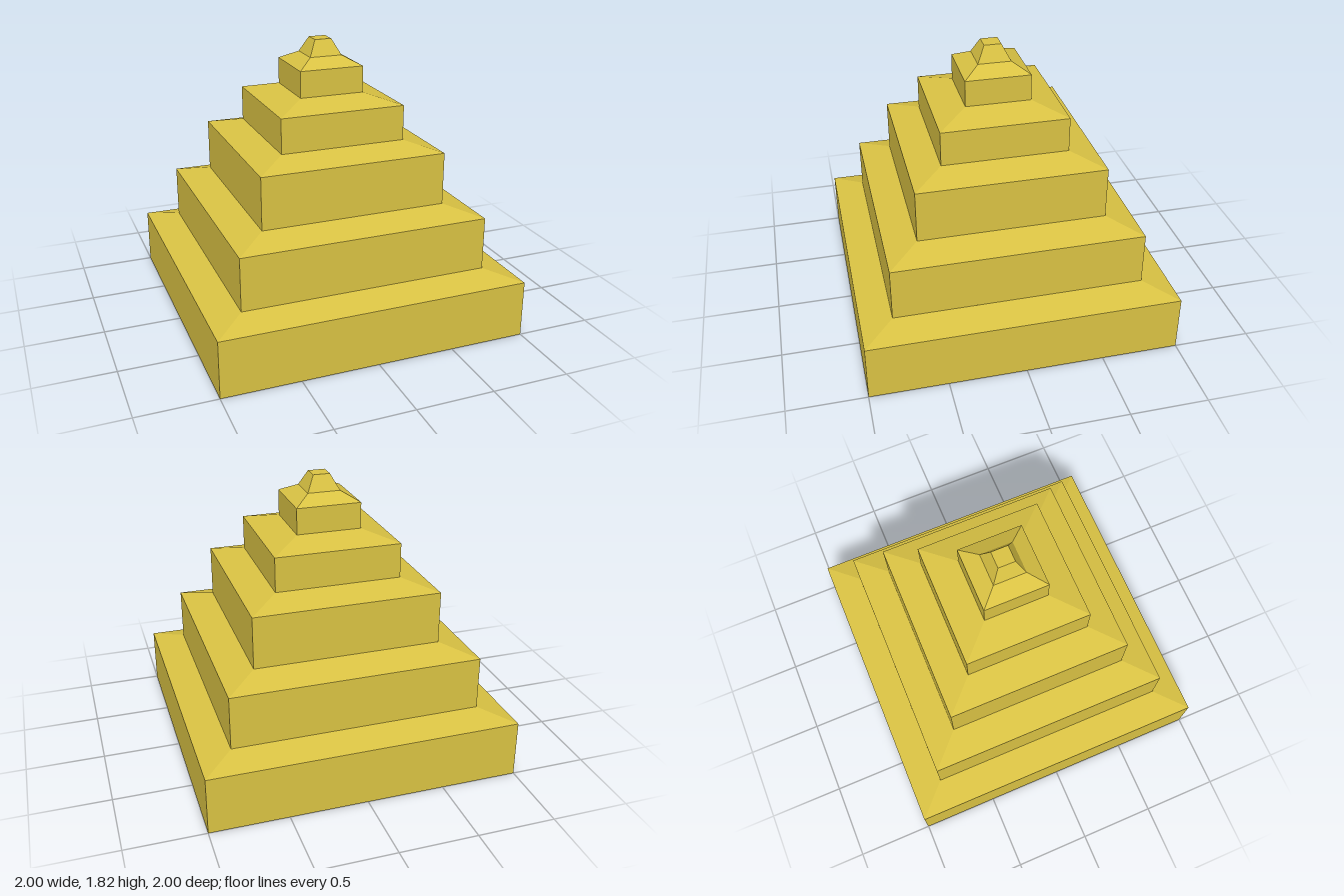
import * as THREE from 'three';

const material = new THREE.MeshStandardMaterial({ color: 0xd9c243, flatShading: true });

// Square frustum given by its half widths and heights
function squareBlock(name, bottomHalf, topHalf, y0, y1, open = true) {
  const geometry = new THREE.CylinderGeometry(
    topHalf * Math.SQRT2, bottomHalf * Math.SQRT2, y1 - y0, 4, 1, open, Math.PI / 4);
  const mesh = new THREE.Mesh(geometry, material);
  mesh.name = name;
  mesh.position.y = (y0 + y1) / 2;
  return mesh;
}

export function createModel() {
  const model = new THREE.Group();
  model.name = 'steppedPyramid';

  // Half width, wall bottom, wall top and ledge top of each tier
  const tiers = [
    [1.0, 0, 0.37, 0.42],
    [0.803, 0.42, 0.763, 0.82],
    [0.603, 0.82, 1.158, 1.212],
    [0.407, 1.212, 1.437, 1.493],
    [0.21, 1.493, 1.663, 1.72],
  ];
  const finialHalf = 0.106;

  tiers.forEach(([half, y0, y1, y2], i) => {
    const nextHalf = i + 1 < tiers.length ? tiers[i + 1][0] : finialHalf;
    const tier = new THREE.Group();
    tier.name = `tier${i + 1}`;
    // Vertical wall; the lowest one is closed to give the underside
    tier.add(squareBlock('wall', half, half, y0, y1, i > 0));
    // Sloping ledge up to the next tier
    tier.add(squareBlock('slopingLedge', half, nextHalf, y1, y2));
    model.add(tier);
  });

  // Tapered cap stone
  model.add(squareBlock('capStone', finialHalf, 0.055, 1.72, 1.82, false));
  return model;
}
